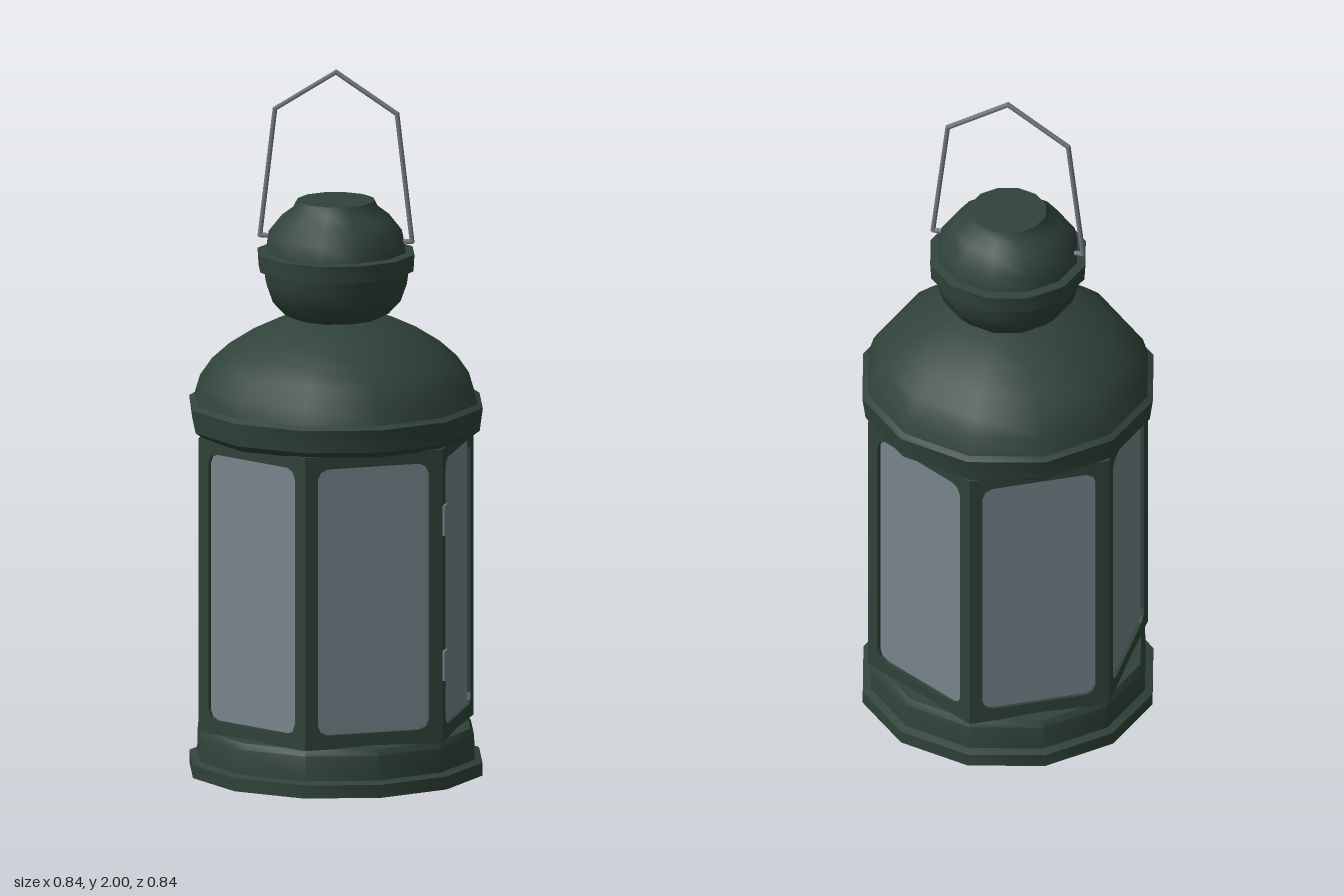
import * as THREE from 'three';
import { toCreasedNormals } from 'three/addons/utils/BufferGeometryUtils.js';

export function createModel() {
  const lantern = new THREE.Group();
  lantern.name = 'lantern';

  const mat = (name, color) => {
    const m = new THREE.MeshStandardMaterial({ color });
    m.name = name;
    return m;
  };
  const green = mat('dark green paint', 0x30433a);
  const glass = mat('grey glass', 0x78848c);
  glass.side = THREE.DoubleSide;
  const steel = mat('steel wire', 0x747b82);

  const add = (parent, name, geometry, material) => {
    const mesh = new THREE.Mesh(geometry, material);
    mesh.name = name;
    parent.add(mesh);
    return mesh;
  };

  // Twelve-sided turned parts, profiles as [radius, height] from the bottom up
  const turned = (name, profile) => add(lantern, name, toCreasedNormals(
    new THREE.LatheGeometry(profile.map(([r, y]) => new THREE.Vector2(r, y)), 12), 0.7), green);

  turned('base', [[0, 0], [0.42, 0], [0.42, 0.037], [0.398, 0.045],
    [0.396, 0.115], [0.385, 0.132], [0.35, 0.137], [0, 0.137]]);
  turned('domeRoof', [[0, 0.965], [0.385, 0.965], [0.412, 0.985], [0.421, 1.05], [0.405, 1.06],
    [0.39, 1.11], [0.355, 1.16], [0.305, 1.205], [0.235, 1.25], [0.165, 1.283], [0.115, 1.297]]);
  turned('chimney', [[0.115, 1.29], [0.15, 1.308], [0.185, 1.345], [0.203, 1.395], [0.208, 1.43],
    [0.222, 1.432], [0.225, 1.48], [0.2, 1.484], [0.193, 1.53], [0.155, 1.578],
    [0.122, 1.603], [0.11, 1.627], [0, 1.63]]);

  // Window frame outline with chamfered opening
  const bottom = 0.132, top = 0.97, half = 0.202, depth = 0.02;
  const opening = (w, y0, y1, c) => [
    [-w + c, y0], [w - c, y0], [w - c * 0.3, y0 + c * 0.3], [w, y0 + c],
    [w, y1 - c], [w - c * 0.3, y1 - c * 0.3], [w - c, y1], [-w + c, y1],
    [-w + c * 0.3, y1 - c * 0.3], [-w, y1 - c], [-w, y0 + c], [-w + c * 0.3, y0 + c * 0.3],
  ].map(([x, y]) => new THREE.Vector2(x, y));
  const frameShape = new THREE.Shape([[-half, bottom], [half, bottom], [half, top], [-half, top]]
    .map(([x, y]) => new THREE.Vector2(x, y)));
  frameShape.holes.push(new THREE.Path(opening(0.164, 0.172, 0.933, 0.03)));
  const frameGeometry = new THREE.ExtrudeGeometry(frameShape, { depth, bevelEnabled: false });
  const paneGeometry = new THREE.PlaneGeometry(0.35, 0.79);

  // Six panels, with flats facing left and right and corners front and back
  for (let i = 0; i < 6; i++) {
    const panel = new THREE.Group();
    panel.name = i === 0 ? 'doorPanel' : 'sidePanel' + i;
    panel.rotation.y = Math.PI / 2 + i * Math.PI / 3;
    add(panel, 'frame', frameGeometry, green).position.z = 0.35 - depth;
    add(panel, 'pane', paneGeometry, glass).position.set(0, 0.552, 0.34);
    lantern.add(panel);
  }

  // Door hinges on the front edge of the left side
  for (const y of [0.35, 0.765]) {
    add(lantern, 'hinge', new THREE.BoxGeometry(0.012, 0.085, 0.038), glass)
      .position.set(0.35, y, 0.183);
  }

  // Bent wire handle
  const handle = new THREE.Group();
  handle.name = 'handle';
  lantern.add(handle);
  const wire = [[0.19, 1.517], [0.218, 1.517], [0.175, 1.88], [0, 1.992]];
  for (const side of [-1, 1]) {
    for (let i = 0; i < wire.length - 1; i++) {
      const a = new THREE.Vector3(side * wire[i][0], wire[i][1], 0);
      const b = new THREE.Vector3(side * wire[i + 1][0], wire[i + 1][1], 0);
      const dir = b.clone().sub(a);
      const rod = add(handle, 'handleWire',
        new THREE.CylinderGeometry(0.007, 0.007, dir.length() + 0.006, 6), steel);
      rod.position.copy(a).add(b).multiplyScalar(0.5);
      rod.quaternion.setFromUnitVectors(new THREE.Vector3(0, 1, 0), dir.normalize());
    }
  }

  return lantern;
}
